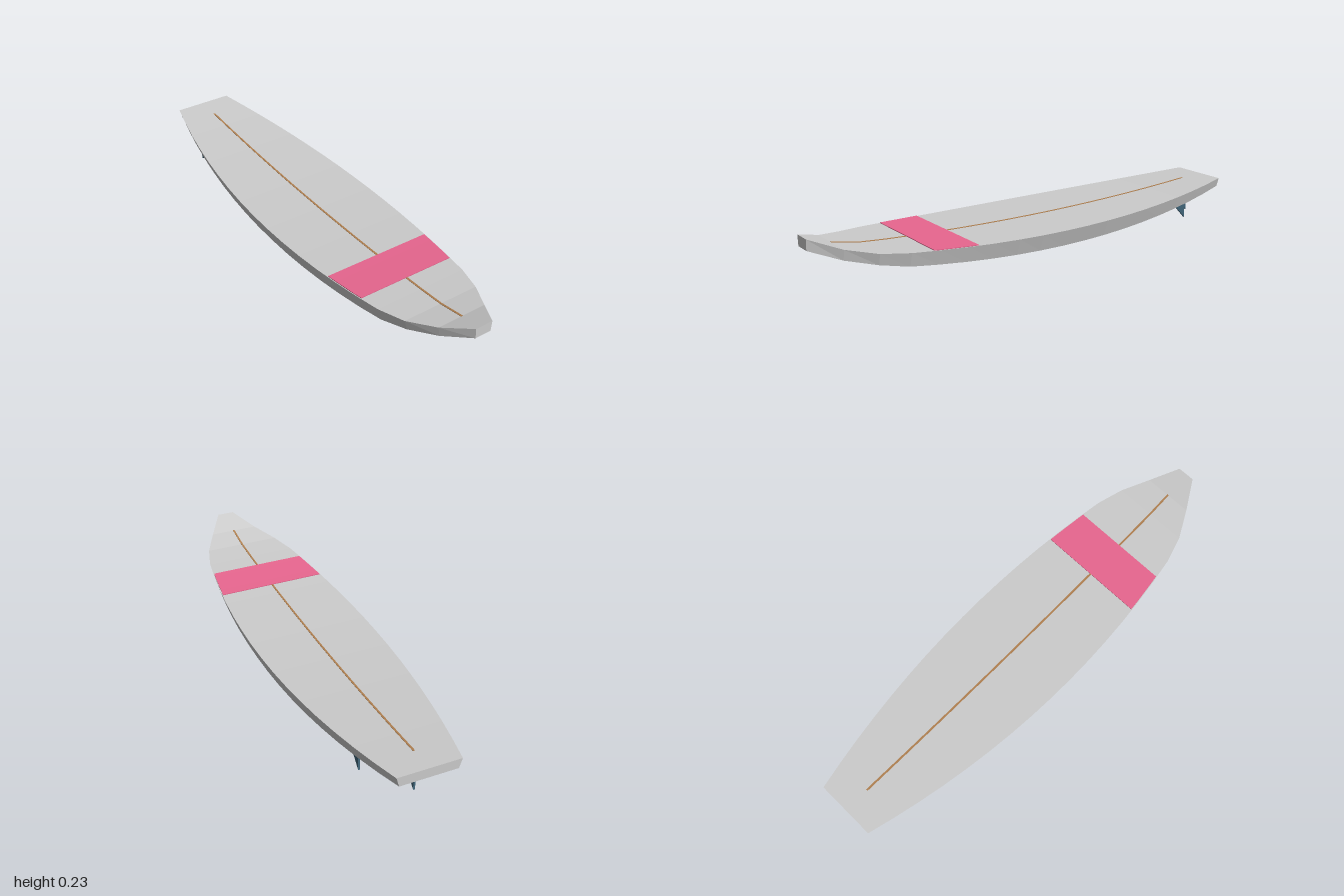
import * as THREE from 'three';

const SEGMENTS = 18;
const lerp = THREE.MathUtils.lerp;
// Nose stations taper faster than the main curves: [halfWidth, bottomY, topY]
const NOSE = { 16: [0.166, 0.12, 0.166], 17: [0.106, 0.145, 0.188], 18: [0.037, 0.186, 0.23] };

// Outline and rocker of the board at one of its evenly spaced stations
function station(i) {
  if (NOSE[i]) return NOSE[i];
  const z = -1 + (2 * i) / SEGMENTS;
  const bottom = 0.06 + 0.073 * (z + 0.07) ** 2;
  return [0.257 - 0.129 * z * z, bottom, bottom + 0.07 - 0.03 * z * z];
}

// Section at any z, straight between stations
function section(z) {
  const t = ((z + 1) * SEGMENTS) / 2;
  const i = Math.min(Math.floor(t + 1e-6), SEGMENTS - 1);
  const a = station(i), b = station(i + 1);
  return a.map((v, k) => lerp(v, b[k], t - i));
}

// z values from one end to the other, including the stations between
function zRange(from, to) {
  const zs = [from];
  for (let i = 0; i <= SEGMENTS; i++) {
    const z = -1 + (2 * i) / SEGMENTS;
    if (z > from + 0.001 && z < to - 0.001) zs.push(z);
  }
  return [...zs, to];
}

// Four-sided section, counter-clockwise from the front
function ring(z, bottomHalf, topHalf, bottom, top) {
  return [[-bottomHalf, bottom, z], [bottomHalf, bottom, z], [topHalf, top, z], [-topHalf, top, z]];
}

// Closed faceted body through rings ordered from back to front
function loft(rings) {
  const pos = [];
  const quad = (a, b, c, d) => pos.push(...a, ...b, ...c, ...a, ...c, ...d);
  for (let r = 0; r < rings.length - 1; r++) {
    const a = rings[r], b = rings[r + 1];
    for (let i = 0; i < 4; i++) {
      const j = (i + 1) % 4;
      quad(a[i], a[j], b[j], b[i]);
    }
  }
  const back = rings[0], front = rings[rings.length - 1];
  quad(back[3], back[2], back[1], back[0]);
  quad(...front);
  const geo = new THREE.BufferGeometry();
  geo.setAttribute('position', new THREE.Float32BufferAttribute(pos, 3));
  geo.computeVertexNormals();
  return geo;
}

// Upright triangular fin: z and y corners, extruded across x
function finGeometry(points, thickness) {
  const shape = new THREE.Shape(points.map(([z, y]) => new THREE.Vector2(-z, y)));
  const geo = new THREE.ExtrudeGeometry(shape, { depth: thickness, bevelEnabled: false });
  geo.translate(0, 0, -thickness / 2);
  geo.rotateY(Math.PI / 2);
  return geo;
}

export function createModel() {
  const group = new THREE.Group();
  const material = (color) => new THREE.MeshStandardMaterial({ color, flatShading: true });
  const add = (name, geo, mat, x = 0) => {
    const mesh = new THREE.Mesh(geo, mat);
    mesh.name = name;
    mesh.position.x = x;
    group.add(mesh);
  };

  // Board with rails that lean in towards the bottom
  add('board', loft(zRange(-1, 1).map((z) => {
    const [w, bottom, top] = section(z);
    return ring(z, w * lerp(0.905, 0.93, Math.max(0, z)), w, bottom, top);
  })), material(0xcccccc));

  // Thin stringer along the deck
  add('stringer', loft(zRange(-0.89, 0.89).map((z) => {
    const top = section(z)[2];
    return ring(z, 0.004, 0.004, top - 0.002, top + 0.0015);
  })), material(0xb08050));

  // Coloured band across the deck
  add('deckStripe', loft(zRange(0.4, 0.58).map((z) => {
    const [w, , top] = section(z);
    return ring(z, w * 0.985, w * 0.985, top - 0.002, top + 0.003);
  })), material(0xe8668f));

  // Fins under the tail
  const finMaterial = material(0x3f6478);
  add('centreFin', finGeometry([[-0.81, 0.112], [-0.915, 0], [-0.907, 0.125]], 0.008), finMaterial, 0.003);
  const sideFin = finGeometry([[-0.69, 0.1], [-0.765, 0.022], [-0.758, 0.105]], 0.008);
  add('rightFin', sideFin, finMaterial, -0.14);
  add('leftFin', sideFin, finMaterial, 0.144);

  return group;
}
